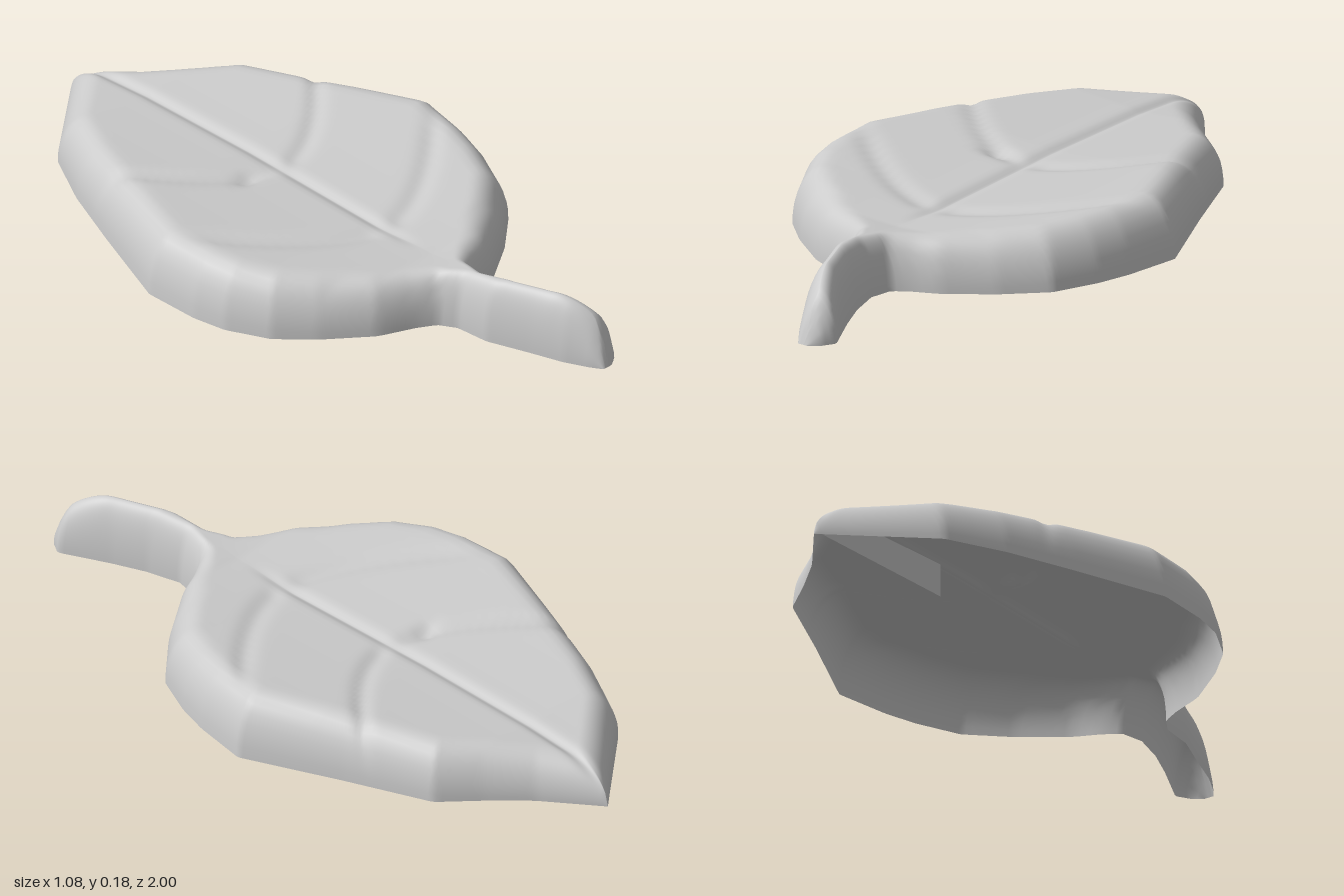
import * as THREE from 'three';

// Outline of the leaf and its stalk as [z, x] for each side
const RIGHT_EDGE = [[-1, 0], [-0.94, -0.07], [-0.77, -0.27], [-0.6, -0.36], [-0.4, -0.44], [-0.12, -0.545],
  [0.05, -0.54], [0.15, -0.52], [0.27, -0.46], [0.36, -0.37], [0.46, -0.24], [0.5, -0.14], [0.53, -0.085],
  [0.58, -0.055], [0.68, -0.045], [0.8, 0], [0.9, 0.035], [0.97, 0.07], [1, 0.09]];
const LEFT_EDGE = [[-1, 0], [-0.84, 0.12], [-0.74, 0.22], [-0.65, 0.32], [-0.4, 0.42], [-0.12, 0.54],
  [0.05, 0.51], [0.15, 0.48], [0.28, 0.42], [0.38, 0.31], [0.47, 0.18], [0.5, 0.11], [0.53, 0.06],
  [0.6, 0.045], [0.7, 0.07], [0.8, 0.11], [0.94, 0.175], [0.98, 0.15], [1, 0.12]];
// Height along the centre line, and wall rounding radius, as [z, value]
const CENTRE = [[-1, 0.105], [-0.9, 0.115], [-0.7, 0.13], [-0.3, 0.14], [0.2, 0.137], [0.42, 0.14],
  [0.55, 0.16], [0.7, 0.178], [0.85, 0.18], [1, 0.17]];
const ROUND = [[-1, 0.09], [0.35, 0.1], [0.52, 0.05], [0.7, 0.052], [1, 0.06]];

const { lerp, smoothstep } = THREE.MathUtils;

function sample(table, z) {
  let i = 1;
  while (i < table.length - 1 && table[i][0] < z) i++;
  const [a, b] = [table[i - 1], table[i]];
  return lerp(a[1], b[1], (z - a[0]) / (b[0] - a[0]));
}

// Shortest distance from a point to the outline
const loop = [...RIGHT_EDGE, ...LEFT_EDGE.slice(1).reverse()];
function edgeDistance(x, z) {
  let best = Infinity;
  loop.forEach(([az, ax], i) => {
    const [bz, bx] = loop[(i + 1) % loop.length];
    const dx = bx - ax, dz = bz - az;
    const t = THREE.MathUtils.clamp(((x - ax) * dx + (z - az) * dz) / (dx * dx + dz * dz), 0, 1);
    best = Math.min(best, Math.hypot(x - ax - t * dx, z - az - t * dz));
  });
  return best;
}

const bump = (d, width) => Math.exp(-((d / width) ** 2));

function height(x, z) {
  const ax = Math.abs(x);
  const blade = 1 - smoothstep(z, 0.4, 0.55);
  const lift = 0.036 * Math.pow(ax / 0.42, 1.3) * blade;
  // Grooves: midrib, two pairs of curved side veins, one small pit
  const side = smoothstep(ax, 0, 0.06) * (1 - smoothstep(ax, 0.36, 0.52));
  const midrib = 0.012 * bump(x, 0.018) * (1 - smoothstep(z, 0.2, 0.4));
  const front = 0.011 * bump(z - (0.24 - 1.07 * ax ** 1.64), 0.035) * side;
  const back = 0.011 * bump(z - (-0.17 - 1.5 * ax ** 1.75), 0.03) * side;
  const pit = 0.015 * bump(Math.hypot(x + 0.11, z + 0.19), 0.03);
  const top = sample(CENTRE, z) + lift - (midrib + front + back + pit) * blade;
  // Rounded walls, and the stalk's sloping end
  const t = Math.min(1, edgeDistance(x, z) / sample(ROUND, z));
  const end = Math.sqrt(Math.max(0, 1 - (Math.max(0, z - 0.83) / 0.17) ** 2));
  return top * Math.sqrt(1 - (1 - t) ** 2) * end;
}

// Open shell lofted from cross-sections running from tip to stalk
function shellGeometry(rows = 180, half = 26) {
  const pos = [], index = [], cols = half * 2;
  for (let i = 0; i <= rows; i++) {
    const z = -1 + 2 * i / rows;
    const a = sample(RIGHT_EDGE, z), b = sample(LEFT_EDGE, z);
    const c = lerp(0, (a + b) / 2, smoothstep(z, 0.45, 0.58));
    for (let j = 0; j <= cols; j++) {
      const k = Math.abs(j - half) / half;
      const x = lerp(c, j < half ? a : b, 0.5 - 0.5 * Math.cos(Math.PI * k));
      pos.push(x, j === 0 || j === cols ? 0 : height(x, z), z);
      if (i < rows && j < cols) {
        const p = i * (cols + 1) + j, q = p + cols + 1;
        index.push(p, q, p + 1, p + 1, q, q + 1);
      }
    }
  }
  const geo = new THREE.BufferGeometry();
  geo.setAttribute('position', new THREE.Float32BufferAttribute(pos, 3));
  geo.setIndex(index);
  geo.computeVertexNormals();
  return geo;
}

export function createModel() {
  const group = new THREE.Group();
  group.name = 'leaf';
  const material = new THREE.MeshStandardMaterial({ color: 0xcccccc, side: THREE.DoubleSide });

  const shell = new THREE.Mesh(shellGeometry(), material);
  shell.name = 'leafBladeAndStalk';
  group.add(shell);

  // Thin fin hanging under the rear half of the midrib
  const finShape = new THREE.Shape([[-0.98, 0.005], [-0.42, 0.03], [-0.42, 0.126], [-0.9, 0.095]]
    .map(([z, y]) => new THREE.Vector2(z, y)));
  const fin = new THREE.Mesh(new THREE.ShapeGeometry(finShape).rotateY(-Math.PI / 2), material);
  fin.name = 'midribFin';
  fin.position.x = -0.01;
  group.add(fin);
  return group;
}
